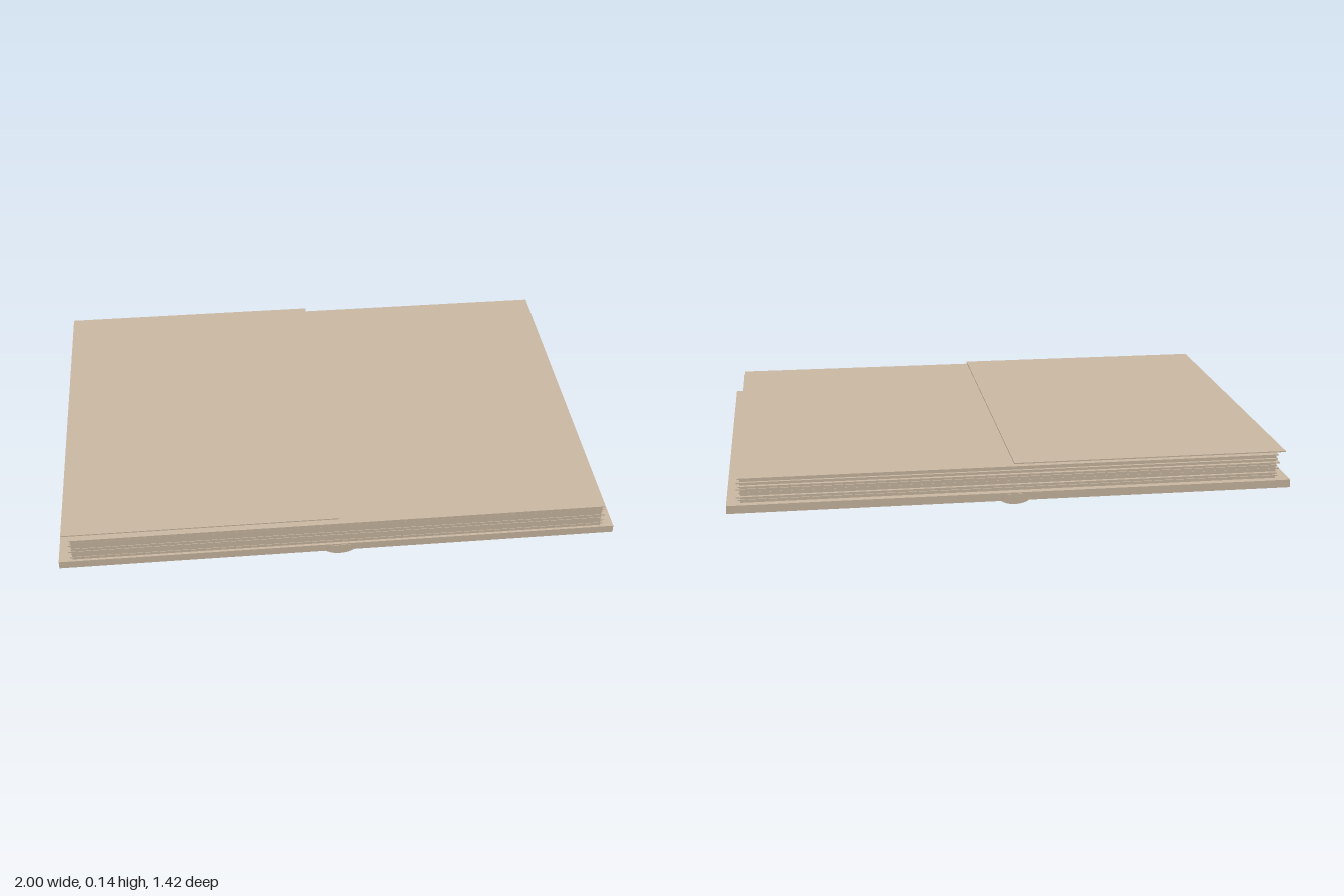
import * as THREE from 'three';

export function createModel() {
  const book = new THREE.Group();
  book.name = 'openBook';
  const paper = new THREE.MeshStandardMaterial({ color: 0xc8b6a0 });
  paper.name = 'tan paper';

  // Box given by its limits on each axis
  function slab(name, x0, x1, y0, y1, z0, z1) {
    const mesh = new THREE.Mesh(new THREE.BoxGeometry(x1 - x0, y1 - y0, z1 - z0), paper);
    mesh.position.set((x0 + x1) / 2, (y0 + y1) / 2, (z0 + z1) / 2);
    mesh.name = name;
    book.add(mesh);
  }

  // Two cover boards, meeting at the spine
  slab('rightCover', -1, 0, 0.013, 0.042, -0.708, 0.708);
  slab('leftCover', 0, 1, 0.013, 0.042, -0.708, 0.708);

  // Rounded spine bulging below the boards
  const profile = new THREE.Shape();
  profile.moveTo(-0.05, 0.014);
  profile.quadraticCurveTo(-0.03, 0, 0, 0);
  profile.quadraticCurveTo(0.03, 0, 0.05, 0.014);
  profile.lineTo(0.035, 0.037);
  profile.lineTo(-0.035, 0.037);
  profile.closePath();
  const spine = new THREE.Mesh(
    new THREE.ExtrudeGeometry(profile, { depth: 1.42, bevelEnabled: false, curveSegments: 8 }), paper);
  spine.position.z = -0.71;
  spine.name = 'spine';
  book.add(spine);

  // Page block with thin, slightly uneven sheets around it
  slab('pageBlock', -0.952, 0.952, 0.042, 0.128, -0.682, 0.698);
  const shiftX = [0, 0.006, -0.004, 0.005, -0.003, 0.004, 0];
  const shiftZ = [0, -0.008, 0.003, 0, -0.01, -0.006, 0.002];
  shiftX.forEach((dx, i) => {
    const y = 0.05 + i * 0.0128;
    slab('sheet' + (i + 1), -0.96 + dx, 0.96 + dx, y, y + 0.004,
      -0.686 + shiftZ[i], 0.7 + Math.min(0, shiftZ[i] * 0.3));
  });

  // Loose page lifted above one half
  slab('loosePage', -0.985, 0, 0.14, 0.144, -0.687, 0.686);

  return book;
}
